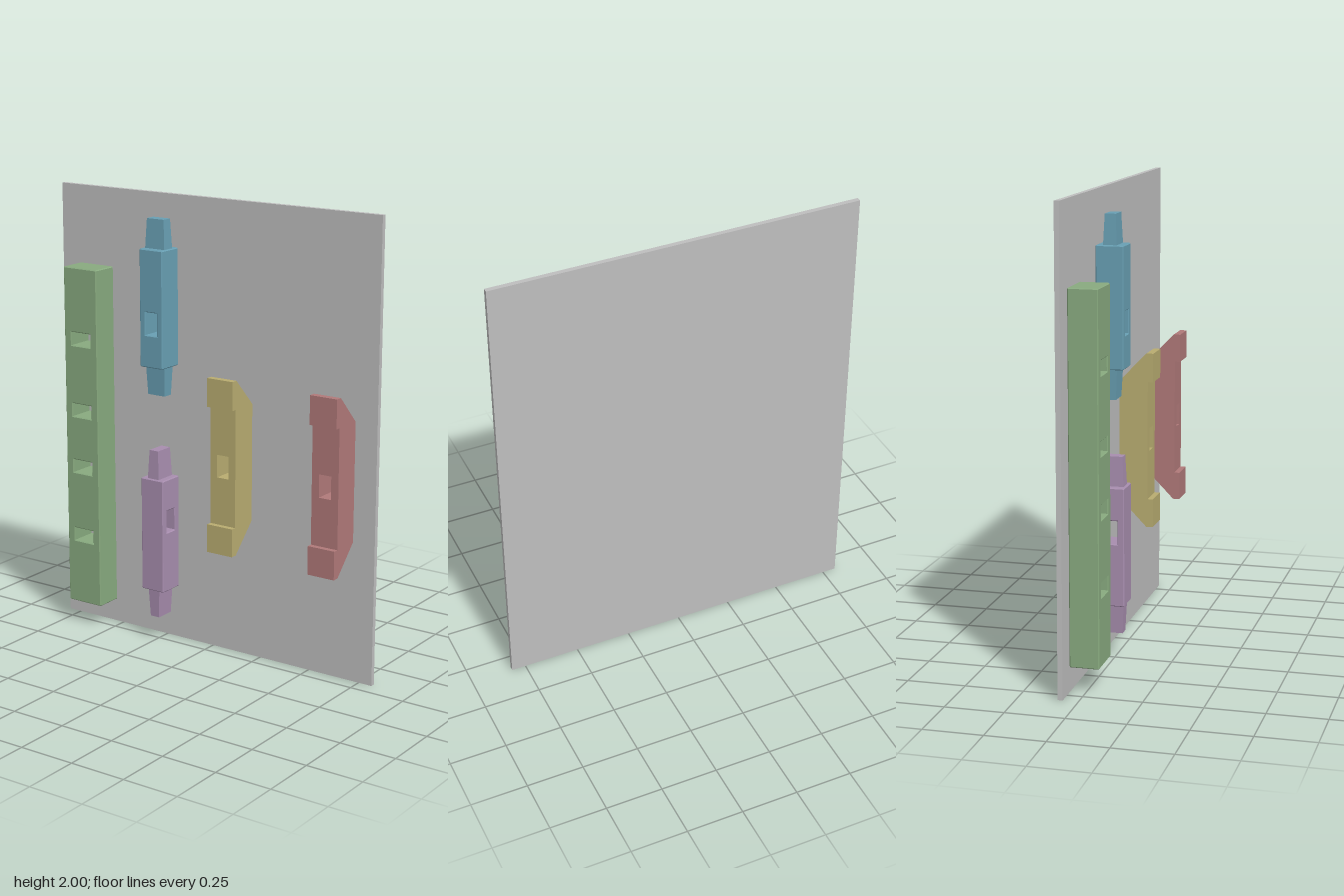
import * as THREE from 'three';

const BACK = -0.065; // front face of the board, where every part rests

const mat = (name, color) => {
  const m = new THREE.MeshStandardMaterial({ color });
  m.name = name;
  return m;
};

function mesh(name, geo, material, parent) {
  const m = new THREE.Mesh(geo, material);
  m.name = name;
  parent.add(m);
  return m;
}

// Rectangle outline with small cut corners
function rect(path, cx, cy, w, h, c = 0) {
  const x = w / 2, y = h / 2;
  const pts = c
    ? [[-x + c, -y], [x - c, -y], [x, -y + c], [x, y - c], [x - c, y], [-x + c, y], [-x, y - c], [-x, -y + c]]
    : [[-x, -y], [x, -y], [x, y], [-x, y]];
  path.setFromPoints(pts.map(([a, b]) => new THREE.Vector2(cx + a, cy + b)));
  return path;
}

// Upright block, centred in depth, with mortises cut through from front to back
// holes: [centre y, width, height]
function mortisedBlock(w, h, d, holes, bevel) {
  const shape = rect(new THREE.Shape(), 0, 0, w, h, bevel);
  for (const [y, hw, hh] of holes) shape.holes.push(rect(new THREE.Path(), 0, y, hw, hh));
  const geo = new THREE.ExtrudeGeometry(shape, {
    depth: d - 2 * bevel,
    bevelEnabled: bevel > 0,
    bevelThickness: bevel,
    bevelSize: bevel,
    bevelOffset: -bevel,
    bevelSegments: 1,
  });
  return geo.translate(0, 0, -d / 2 + bevel);
}

// Tenon standing on y = 0, narrowing towards its tip
function tenonGeometry(w, h, d, taper) {
  const geo = new THREE.BoxGeometry(w, h, d).translate(0, h / 2, 0);
  const p = geo.attributes.position;
  for (let i = 0; i < p.count; i++) {
    if (p.getY(i) > h / 2) {
      p.setX(i, p.getX(i) - Math.sign(p.getX(i)) * taper);
      p.setZ(i, p.getZ(i) - Math.sign(p.getZ(i)) * taper);
    }
  }
  geo.computeVertexNormals();
  return geo;
}

// Peg: a mortised body with a tapered tenon at each end
function peg(name, material) {
  const g = new THREE.Group();
  g.name = name;
  mesh(name + 'Body', mortisedBlock(0.12, 0.515, 0.118, [[-0.065, 0.06, 0.1]], 0.004), material, g);
  for (const s of [1, -1]) {
    const t = mesh(name + (s > 0 ? 'UpperTenon' : 'LowerTenon'), tenonGeometry(0.1, 0.128, 0.058, 0.006), material, g);
    t.position.y = s * 0.257;
    if (s < 0) t.rotation.z = Math.PI;
  }
  return g;
}

// Cleat: a mortised bar with a forward lip and a sloped back at each end
function cleat(name, material) {
  const w = 0.128, half = 0.26, tip = 0.385, depth = 0.127;
  const g = new THREE.Group();
  g.name = name;
  const bar = mesh(name + 'Bar', mortisedBlock(w, half * 2, depth, [[0, 0.058, 0.1]], 0), material, g);
  bar.position.z = BACK + depth / 2;
  for (const s of [1, -1]) {
    // profile in depth and height
    const pts = [[BACK, half], [0.086, half], [0.086, tip], [0.056, tip]];
    const shape = new THREE.Shape(pts.map(([z, y]) => new THREE.Vector2(z, s * y)));
    const geo = new THREE.ExtrudeGeometry(shape, { depth: w, bevelEnabled: false });
    geo.translate(0, 0, -w / 2).rotateY(-Math.PI / 2);
    mesh(name + (s > 0 ? 'UpperLip' : 'LowerLip'), geo, material, g);
  }
  return g;
}

export function createModel() {
  const model = new THREE.Group();
  model.name = 'joineryBoard';
  const grey = mat('boardGrey', 0xbebebe);
  const green = mat('railGreen', 0x88aa7f);
  const blue = mat('pegBlue', 0x689fb3);
  const purple = mat('pegPurple', 0xa78dae);
  const yellow = mat('cleatYellow', 0xb8ac70);
  const red = mat('cleatRed', 0xb07979);

  // Backing board
  const board = mesh('backBoard', new THREE.BoxGeometry(1.626, 2, 0.021), grey, model);
  board.position.set(0, 1, BACK - 0.0105);

  // Long rail with four mortises
  const railY = 0.88;
  const holes = [1.335, 1.01, 0.75, 0.428].map((y) => [y - railY, 0.104, 0.06]);
  const rail = mesh('longRail', mortisedBlock(0.18, 1.548, 0.125, holes, 0.004), green, model);
  rail.position.set(-0.625, railY, BACK + 0.0625);

  // Two pegs, the lower one upside down and turned a quarter
  const upperPeg = peg('upperPeg', blue);
  upperPeg.position.set(-0.244, 1.515, BACK + 0.059);
  const lowerPeg = peg('lowerPeg', purple);
  lowerPeg.position.set(-0.244, 0.5, BACK + 0.06);
  lowerPeg.rotation.set(Math.PI, Math.PI / 2, 0);
  model.add(upperPeg, lowerPeg);

  // Two cleats side by side
  const innerCleat = cleat('innerCleat', yellow);
  innerCleat.position.set(0.137, 0.88, 0);
  const outerCleat = cleat('outerCleat', red);
  outerCleat.position.set(0.645, 0.88, 0);
  model.add(innerCleat, outerCleat);

  return model;
}
